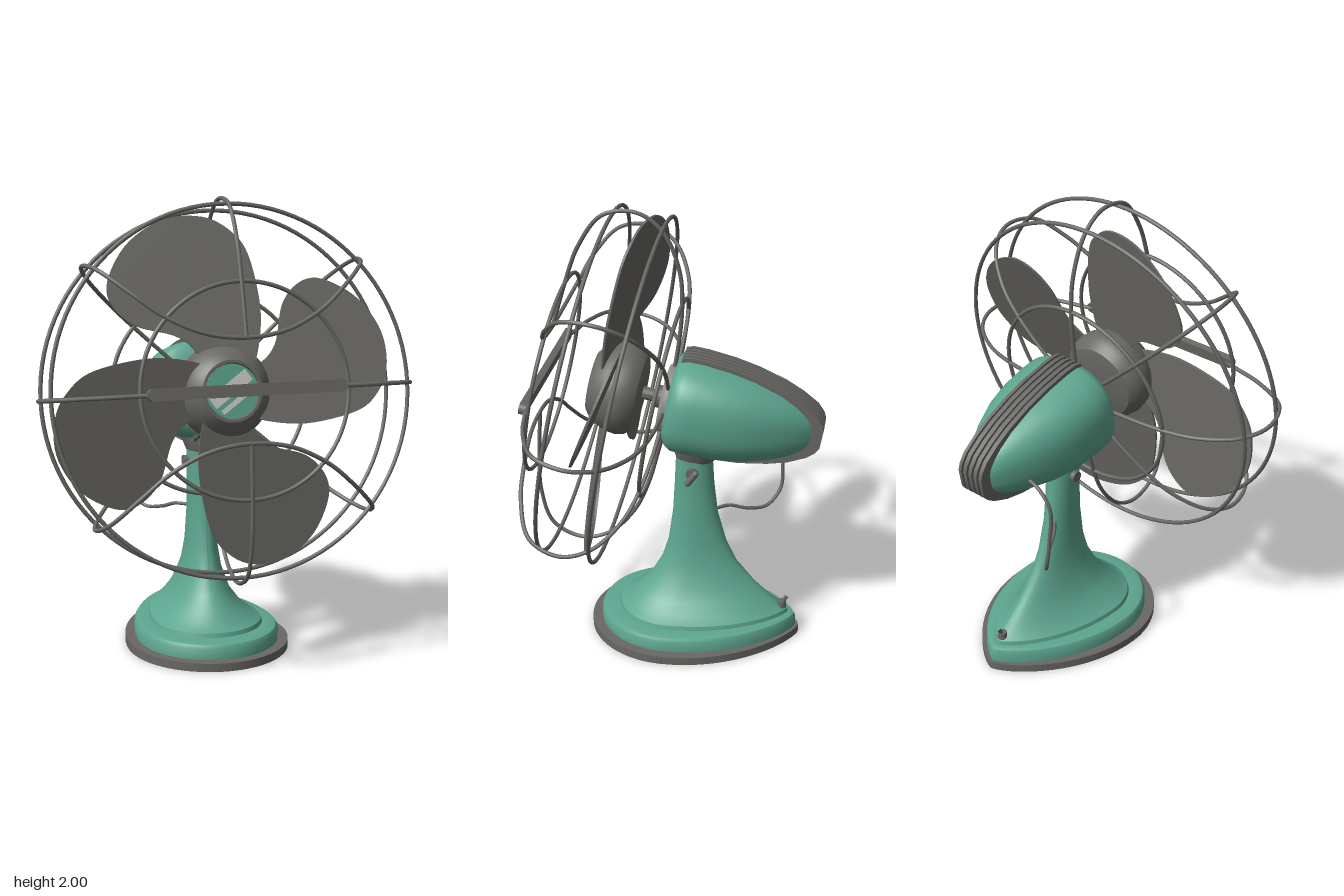
import * as THREE from 'three';
import { toCreasedNormals } from 'three/addons/utils/BufferGeometryUtils.js';

const mat = (name, color, side = THREE.FrontSide) => {
  const m = new THREE.MeshStandardMaterial({ color, side });
  m.name = name;
  return m;
};
const V = (x, y, z) => new THREE.Vector3(x, y, z);

export function createModel() {
  const green = mat('green enamel', 0x5da58f);
  const grey = mat('dark grey metal', 0x696864);
  const light = mat('light grey metal', 0x8f8e89);
  const silver = mat('silver', 0xcfcdc8);

  const model = new THREE.Group();
  model.name = 'deskFan';
  const add = (parent, name, geo, material, pos) => {
    const m = new THREE.Mesh(geo, material);
    m.name = name;
    if (pos) m.position.set(...pos);
    parent.add(m);
    return m;
  };

  // Skin over a list of rings, closed at both ends
  const loft = (rings, crease = 0.6) => {
    const n = rings[0].length, pos = [], idx = [];
    rings.forEach(r => r.forEach(p => pos.push(p.x, p.y, p.z)));
    for (let i = 0; i < rings.length - 1; i++) {
      for (let j = 0; j < n; j++) {
        const k = (j + 1) % n, a = i * n, b = a + n;
        idx.push(a + j, a + k, b + k, a + j, b + k, b + j);
      }
    }
    [0, rings.length - 1].forEach((i, end) => {
      const c = V(0, 0, 0), at = pos.length / 3;
      rings[i].forEach(p => c.addScaledVector(p, 1 / n));
      pos.push(c.x, c.y, c.z);
      for (let j = 0; j < n; j++) {
        const a = i * n + j, b = i * n + (j + 1) % n;
        idx.push(at, end ? a : b, end ? b : a);
      }
    });
    const g = new THREE.BufferGeometry();
    g.setAttribute('position', new THREE.Float32BufferAttribute(pos, 3));
    g.setIndex(idx);
    return toCreasedNormals(g, crease);
  };
  const wire = (pts, r = 0.009, seg = 70) =>
    new THREE.TubeGeometry(new THREE.CatmullRomCurve3(pts, false, 'centripetal'), seg, r, 8);
  const lathe = pts => toCreasedNormals(
    new THREE.LatheGeometry(pts.map(p => new THREE.Vector2(...p)), 48).rotateX(Math.PI / 2), 0.6);

  // Teardrop outline: round front, tapered back
  const drop = (y, zf, zb, hw, zc, p) => Array.from({ length: 64 }, (_, i) => {
    const a = i / 64 * Math.PI * 2, c = Math.cos(a), s = Math.sin(a);
    const x = c < 0 ? Math.sign(s) * Math.abs(s) ** p : s;
    return V(hw * x, y, zc + c * (c > 0 ? zf - zc : zc - zb));
  });

  // Base rim and pedestal
  add(model, 'baseRim', loft([drop(0, .38, -.58, .36, 0, 1.5), drop(.037, .38, -.58, .36, 0, 1.5)]), grey);
  add(model, 'pedestal', loft([
    [.035, .335, -.565, .315, 0, 1.5], [.085, .335, -.565, .315, 0, 1.5],
    [.1, .325, -.558, .305, 0, 1.5], [.106, .305, -.545, .285, 0, 1.5],
    [.107, .25, -.53, .245, 0, 1.5], [.125, .245, -.525, .24, 0, 1.5],
    [.136, .225, -.505, .22, 0, 1.45], [.15, .205, -.485, .2, -.01, 1.4],
    [.19, .165, -.44, .155, -.03, 1.35], [.25, .11, -.375, .112, -.06, 1.25],
    [.35, .055, -.29, .08, -.08, 1.1], [.45, .025, -.24, .066, -.09, 1],
    [.6, .005, -.198, .061, -.095, 1], [.75, -.003, -.18, .062, -.095, 1],
    [.875, -.008, -.172, .065, -.09, 1],
  ].map(a => drop(...a))), green);

  // Toggle switch at the back of the base
  add(model, 'switchCollar', new THREE.CylinderGeometry(.02, .022, .03, 16), grey, [0, .145, -.5]);
  add(model, 'switchLever', wire([V(0, .14, -.5), V(0, .165, -.51), V(0, .19, -.525)], .009, 8), grey);

  // Tilt joint with bolts and a wing screw
  add(model, 'tiltBracket', loft([
    drop(.865, -.01, -.18, .06, -.1, 1), drop(.9, 0, -.2, .075, -.1, 1), drop(.96, .0, -.23, .09, -.1, 1),
  ]), grey);
  for (const s of [-1, 1]) {
    add(model, 'tiltBolt', new THREE.CylinderGeometry(.025, .025, .03, 20).rotateZ(Math.PI / 2), grey, [s * .07, .825, -.09]);
  }
  const wing = add(model, 'wingScrew', new THREE.CapsuleGeometry(.014, .06, 4, 12), grey, [.095, .812, -.093]);
  wing.rotation.x = -.6;

  // Power cord from motor to pedestal
  add(model, 'cord', wire([
    V(-.12, 1.02, -.45), V(-.2, 1.0, -.46), V(-.26, .93, -.46), V(-.255, .75, -.46), V(-.235, .62, -.455),
    V(-.18, .555, -.4), V(-.12, .565, -.32), V(-.08, .595, -.24), V(-.03, .6, -.18)], .008), grey);

  // Everything on the tilted motor axis
  const head = new THREE.Group();
  head.name = 'head';
  head.position.y = 1.144;
  head.rotation.x = -THREE.MathUtils.degToRad(10);
  model.add(head);

  // Motor housing: [z, top, bottom, half width] from back to front
  const shell = [
    [-.645, .035, -.02, .018], [-.632, .065, -.048, .045], [-.6, .1, -.08, .075], [-.53, .14, -.122, .118],
    [-.45, .173, -.152, .16], [-.33, .205, -.182, .207], [-.22, .222, -.195, .23], [-.1, .23, -.201, .238],
    [-.035, .228, -.199, .235], [-.005, .217, -.183, .22], [.015, .185, -.15, .185],
  ];
  add(head, 'motorHousing', loft(shell.map(([z, t, b, w]) => Array.from({ length: 56 }, (_, i) => {
    const a = i / 56 * Math.PI * 2, c = Math.cos(a), s = Math.sin(a);
    return V(w * Math.sign(c) * Math.abs(c) ** .8, (t + b) / 2 + (t - b) / 2 * Math.sign(s) * Math.abs(s) ** .8, z);
  })), .9), green);

  // Ribbed band over the top, back and underside of the housing
  const band = (name, x, width, grow) => {
    const o = shell.slice(0, -1);
    const up = o.map(([z, t]) => new THREE.Vector2(z - grow * Math.max(0, -z - .3) / .35, t + grow));
    const low = o.map(([z, , b]) => new THREE.Vector2(z - grow * Math.max(0, -z - .3) / .35, b - grow));
    const shape = new THREE.Shape([...low.reverse(), ...up]);
    const g = new THREE.ExtrudeGeometry(shape, { depth: width, bevelEnabled: false });
    g.rotateY(-Math.PI / 2).translate(x + width / 2, 0, 0);
    add(head, name, toCreasedNormals(g, .6), grey);
  };
  band('ribBand', 0, .13, .004);
  for (let i = -2; i <= 2; i++) band('rib', i * .029, .015, .014);

  // Front plate, shaft and hub
  add(head, 'frontPlate', lathe([[0, 0], [.16, 0], [.16, .035], [.145, .048], [.06, .052], [0, .052]]), light);
  add(head, 'shaft', lathe([[0, .03], [.05, .03], [.05, .085], [.028, .09], [.028, .17], [0, .17]]), grey);
  add(head, 'hub', lathe([[0, .14], [.13, .14], [.17, .15], [.195, .18], [.205, .22], [.2, .265], [.18, .31],
    [.15, .35], [.13, .365], [.118, .365], [.114, .352], [0, .352]]), grey);
  add(head, 'hubBadge', new THREE.CylinderGeometry(.114, .114, .006, 40).rotateX(Math.PI / 2), green, [0, 0, .355]);
  for (const [off, w, len] of [[.012, .055, .2], [-.045, .02, .18]]) {
    const stripe = add(head, 'badgeStripe', new THREE.BoxGeometry(len, w, .004), silver,
      [-off * .6, off * .8, .36]);
    stripe.rotation.z = .62;
  }

  // Four pitched blades
  const outline = [[.1, .05], [.14, .2], [.15, .36], [.11, .57], [.04, .67], [-.07, .73], [-.23, .725], [-.38, .63],
    [-.465, .48], [-.45, .375], [-.36, .29], [-.2, .24], [-.12, .17], [-.07, .05]];
  const bladeShape = new THREE.Shape(
    new THREE.SplineCurve(outline.map(p => new THREE.Vector2(...p))).getPoints(70));
  const bladeGeo = new THREE.ExtrudeGeometry(bladeShape, { depth: .01, bevelEnabled: false });
  const bp = bladeGeo.attributes.position;
  for (let i = 0; i < bp.count; i++) bp.setZ(i, bp.getZ(i) + .285 + .21 * bp.getX(i));
  bladeGeo.computeVertexNormals();
  for (let i = 0; i < 4; i++) add(head, 'blade', bladeGeo, grey).rotation.z = i * Math.PI / 2;

  // Cage rings
  const cage = new THREE.Group();
  cage.name = 'cage';
  head.add(cage);
  for (const [r, z] of [[.768, .177], [.768, .4], [.44, .045], [.44, .545]]) {
    add(cage, 'cageRing', new THREE.TorusGeometry(r, .009, 8, 96), grey, [0, 0, z]);
  }

  // Cage wires: [radius, z] from the front plate around to the front
  const back = [[.1, .03], [.17, .025], [.435, .042], [.6, .085], [.744, .18], [.8, .3], [.757, .44], [.6, .52]];
  const full = [...back, [.44, .55], [.21, .577]];
  const spoke = (prof, a) => prof.map(([r, z]) => V(r * Math.cos(a), r * Math.sin(a), z));
  for (const s of [-1, 1]) {
    add(cage, 'verticalWire', wire(spoke(full, s * Math.PI / 2)), grey);
    add(cage, 'sideWire', wire(spoke([...back, [.44, .555], [.38, .57]], s > 0 ? 0 : Math.PI)), grey);
    // Diagonal pair joined by a curve across the front
    const half = [...spoke(back, s * .733), V(.33, s * .31, .55), V(.17, s * .235, .572)];
    const mirrored = half.map(p => V(-p.x, p.y, p.z)).reverse();
    add(cage, 'diagonalWire', wire([...half, V(0, s * .212, .577), ...mirrored], .009, 150), grey);
  }

  // Front crossbar with rounded ends
  const bar = new THREE.Shape();
  bar.absarc(.395, 0, .025, -Math.PI / 2, Math.PI / 2);
  bar.absarc(-.395, 0, .025, Math.PI / 2, Math.PI * 1.5);
  add(cage, 'crossbar', new THREE.ExtrudeGeometry(bar, { depth: .03, bevelEnabled: false }), grey, [0, .002, .56]);

  return model;
}
